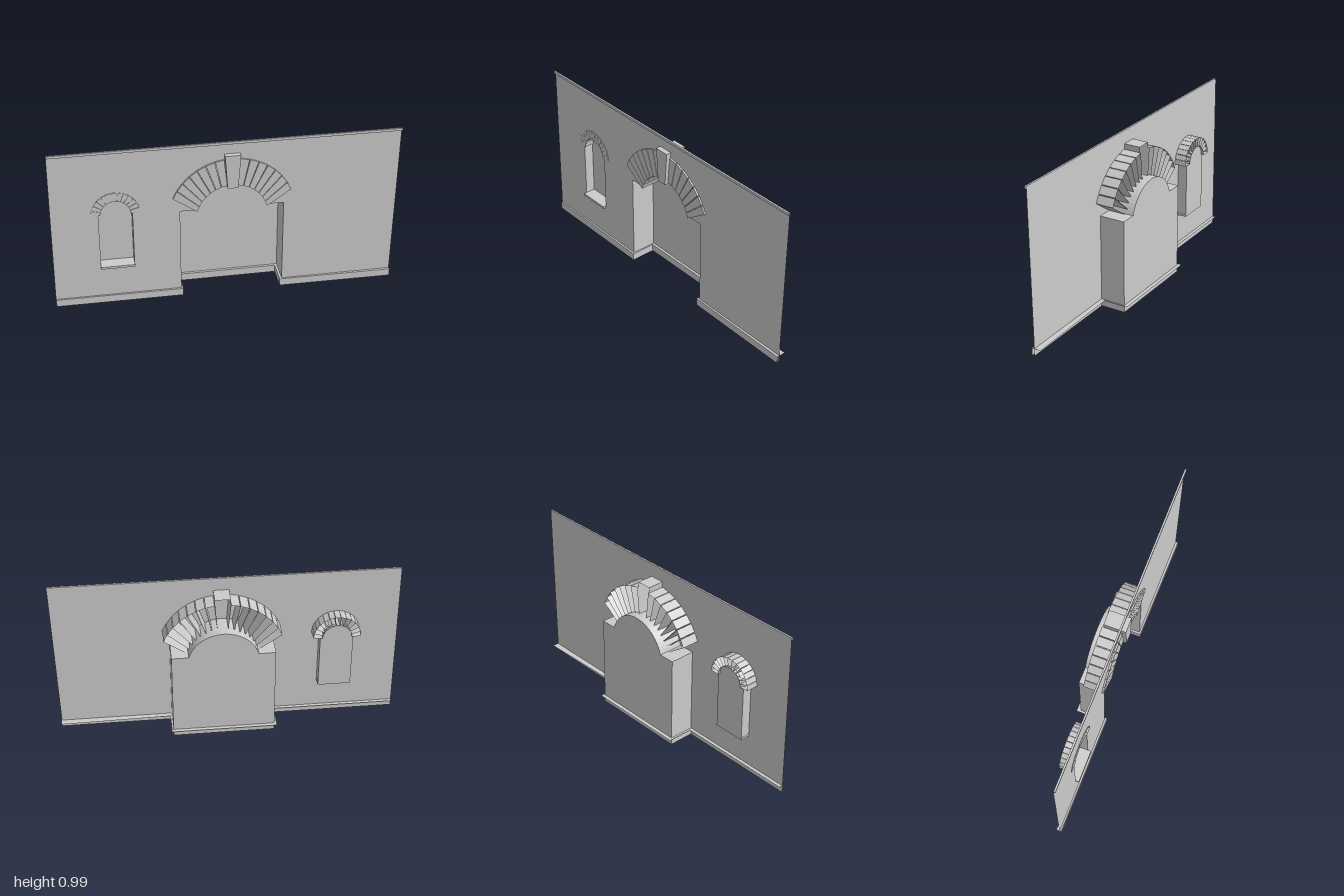
import * as THREE from 'three';

const mat = new THREE.MeshStandardMaterial({ color: 0xcccccc, side: THREE.DoubleSide, flatShading: true });
const WALL_Z = 0.073;

const toShape = (pts) => new THREE.Shape(pts.map(([x, y]) => new THREE.Vector2(x, y)));

function add(parent, geometry, name) {
  const mesh = new THREE.Mesh(geometry, mat);
  mesh.name = name;
  parent.add(mesh);
  return mesh;
}

// Ribbon of quads joining two rows of 3D points
function ribbon(a, b) {
  const pos = [];
  for (let i = 0; i < a.length - 1; i++) {
    pos.push(...a[i], ...b[i], ...b[i + 1], ...a[i], ...b[i + 1], ...a[i + 1]);
  }
  const geo = new THREE.BufferGeometry();
  geo.setAttribute('position', new THREE.Float32BufferAttribute(pos, 3));
  geo.computeVertexNormals();
  return geo;
}

// Flat face at capZ with sides running to an open rim at rimZ
function tray(parent, name, pts, capZ, rimZ, closed = true) {
  const group = new THREE.Group();
  group.name = name;
  parent.add(group);
  add(group, new THREE.ShapeGeometry(toShape(pts)), name + 'Face').position.z = capZ;
  const row = closed ? [...pts, pts[0]] : pts;
  const at = (z) => row.map(([x, y]) => [x, y, z]);
  add(group, ribbon(at(capZ), at(rimZ)), name + 'Sides');
}

const polar = (cx, cy, r, deg) => {
  const t = THREE.MathUtils.degToRad(deg);
  return [cx + r * Math.cos(t), cy + r * Math.sin(t)];
};

function arc(cx, cy, r, from, to, n) {
  return Array.from({ length: n + 1 }, (_, i) => polar(cx, cy, r, from + ((to - from) * i) / n));
}

// Row of wedge stones between an inner and an outer arc
function stones(parent, name, n, inner, outer, gap, front, back) {
  const point = (c, t) => polar(c.x, c.y, c.r, c.from + (c.to - c.from) * t);
  for (let i = 0; i < n; i++) {
    const t0 = (i + gap) / n, t1 = (i + 1 - gap) / n;
    tray(parent, name, [point(inner, t0), point(outer, t0), point(outer, t1), point(inner, t1)], front, back);
  }
}

export function createModel() {
  const model = new THREE.Group();
  model.name = 'archedWall';

  // Opening outlines, counter-clockwise
  const cx = 0.032, wx = -0.63;
  const door = [[cx + 0.298, 0], [cx + 0.298, 0.565],
    ...arc(cx, 0.507, 0.208, 16, 164, 24), [cx - 0.298, 0.565], [cx - 0.298, 0]];
  const win = [[wx - 0.096, 0.24], [wx + 0.096, 0.24], [wx + 0.096, 0.585],
    ...arc(wx, 0.585, 0.085, 0, 180, 16), [wx - 0.096, 0.585]];

  // Wall sheet with doorway notch and window hole
  const wallShape = toShape([[-0.997, 0], ...[...door].reverse(), [0.983, 0], [0.997, 0.978], [-0.991, 0.978]]);
  wallShape.holes.push(toShape(win));
  add(model, new THREE.ShapeGeometry(wallShape), 'wall').position.z = WALL_Z;

  // Recesses behind the openings
  tray(model, 'doorRecess', door, -0.08, WALL_Z, false);
  tray(model, 'windowRecess', win, 0.015, WALL_Z);

  // Door arch stones, mirrored about the keystone
  const doorArch = new THREE.Group();
  doorArch.name = 'doorArch';
  model.add(doorArch);
  for (const s of [1, -1]) {
    const span = (y, r, a, b) => ({
      x: cx, y, r, from: s > 0 ? a : 180 - b, to: s > 0 ? b : 180 - a,
    });
    stones(doorArch, 'archStone', 7, span(0.507, 0.206, 14, 82), span(0.515, 0.365, 22, 83), 0.04, 0.083, -0.036);
  }
  tray(doorArch, 'keystone',
    [[cx - 0.03, 0.704], [cx + 0.03, 0.704], [cx + 0.045, 0.91], [cx - 0.045, 0.91]], 0.103, -0.028);

  // Window arch stones
  const windowArch = new THREE.Group();
  windowArch.name = 'windowArch';
  model.add(windowArch);
  stones(windowArch, 'windowStone', 13,
    { x: wx, y: 0.583, r: 0.085, from: 0, to: 180 },
    { x: wx, y: 0.583, r: 0.139, from: 1, to: 179 }, 0.03, 0.076, 0);

  // Window sill
  const sill = add(model, new THREE.BoxGeometry(0.195, 0.014, 0.078), 'windowSill');
  sill.position.set(wx, 0.242, 0.054);

  // Top rail
  const rail = add(model, new THREE.BoxGeometry(1.988, 0.015, 0.011), 'topRail');
  rail.position.set(0.004, 0.981, 0.079);

  // Skirting: upright strip and ledge following the wall into the doorway
  const front = [[-0.995, 0.082], [-0.257, 0.085], [-0.257, -0.065], [0.317, -0.065], [0.317, 0.083], [0.985, 0.088]];
  const rear = [[-0.995, 0.052], [-0.28, 0.052], [-0.28, -0.103], [0.34, -0.103], [0.34, 0.045], [0.985, 0.033]];
  const lift = (row, y) => row.map(([x, z]) => [x, y, z]);
  add(model, ribbon(lift(front, 0.045), lift(front, 0)), 'skirtingFace');
  add(model, ribbon(lift(rear, 0.045), lift(front, 0.045)), 'skirtingLedge');

  return model;
}
